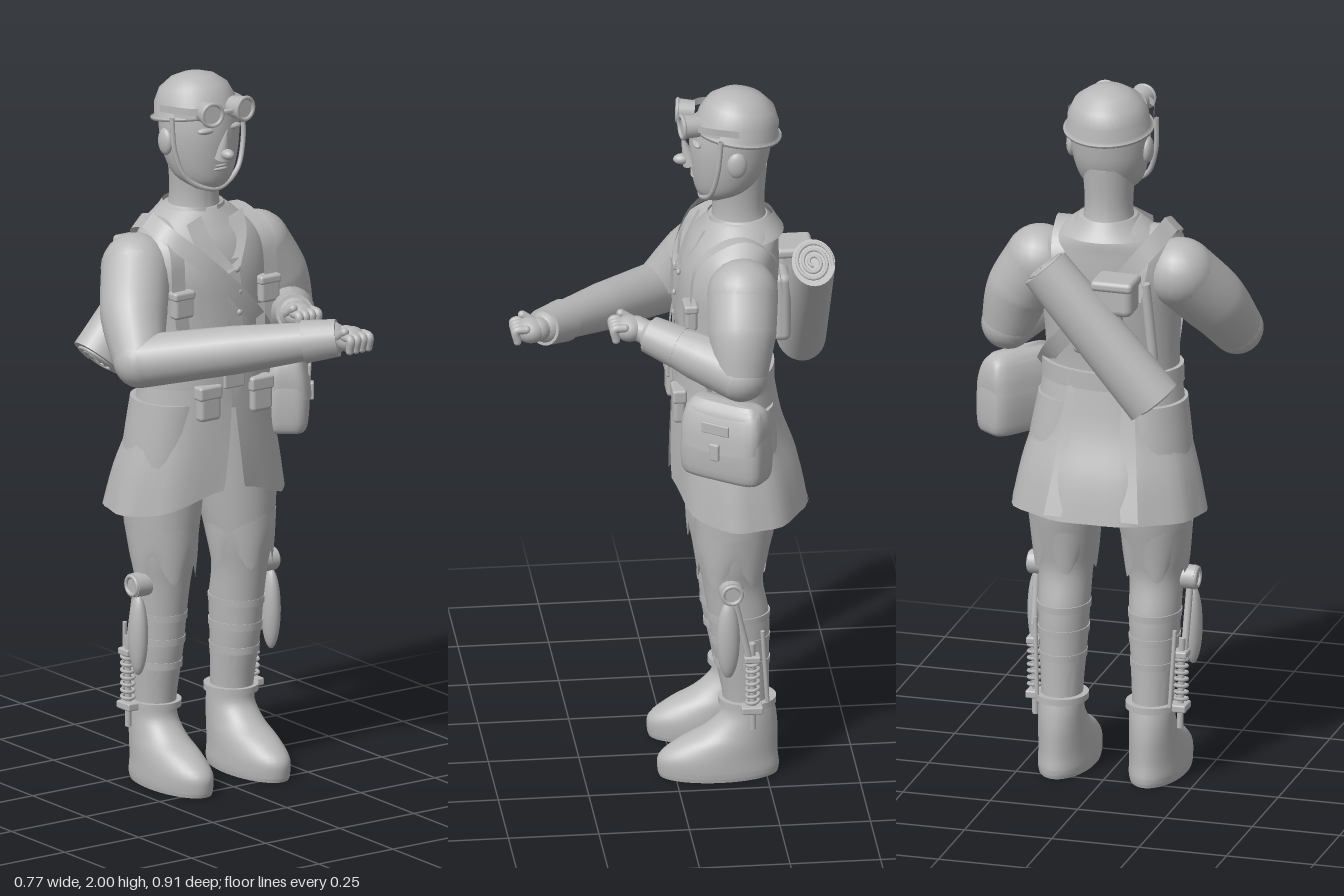
import * as THREE from 'three';
import { toCreasedNormals } from 'three/addons/utils/BufferGeometryUtils.js';
import { RoundedBoxGeometry } from 'three/addons/geometries/RoundedBoxGeometry.js';

const V = (x, y, z) => new THREE.Vector3(x, y, z);

export function createModel() {
  const model = new THREE.Group();
  const grey = new THREE.MeshStandardMaterial({ color: 0xb8b8b8, side: THREE.DoubleSide });
  grey.name = 'plain grey';

  const add = (name, geo, x = 0, y = 0, z = 0) => {
    const m = new THREE.Mesh(geo, grey);
    m.name = name;
    m.position.set(x, y, z);
    model.add(m);
    return m;
  };
  const box = (name, w, h, d, x, y, z, r = 0.008) => add(name, new RoundedBoxGeometry(w, h, d, 2, r), x, y, z);
  const ball = (name, x, y, z, rx, ry = rx, rz = rx) => {
    const m = add(name, new THREE.SphereGeometry(1, 20, 14), x, y, z);
    m.scale.set(rx, ry, rz);
    return m;
  };
  const rod = (name, a, b, r0, r1 = r0, sides = 16) => {
    const d = b.clone().sub(a);
    const m = add(name, new THREE.CylinderGeometry(r1, r0, d.length(), sides));
    m.position.copy(a).addScaledVector(d, 0.5);
    m.quaternion.setFromUnitVectors(V(0, 1, 0), d.normalize());
    return m;
  };

  // Stacked ellipse rows [y, rx, rz, cx, cz]; gap(t) opens the front, ripple and lift shape the cloth
  const loft = (name, rows, { cap = true, gap = () => 0, ripple = () => 0, lift = () => 0 } = {}) => {
    const curves = [1, 2, 3, 4].map(k => rows.map(r => r[k]));
    const n = (rows.length - 1) * 4, seg = 40, pos = [], idx = [];
    const at = (arr, t) => {
      const f = t * (rows.length - 1), i = Math.min(Math.floor(f), rows.length - 2), u = f - i;
      const p0 = arr[Math.max(i - 1, 0)], p1 = arr[i], p2 = arr[i + 1], p3 = arr[Math.min(i + 2, arr.length - 1)];
      return p1 + 0.5 * u * (p2 - p0 + u * (2 * p0 - 5 * p1 + 4 * p2 - p3 + u * (3 * (p1 - p2) + p3 - p0)));
    };
    const ys = rows.map(r => r[0]);
    const ring = (t, k) => {
      const [rx, rz, cx, cz] = curves.map(c => at(c, t)), g = gap(t);
      for (let j = 0; j <= seg; j++) {
        const a = g + (j / seg) * (Math.PI * 2 - 2 * g), w = k * (1 + ripple(a, t));
        pos.push(cx + rx * w * Math.sin(a), at(ys, t) + lift(a, t), cz + rz * w * Math.cos(a));
      }
    };
    if (cap) ring(0, 0);
    for (let i = 0; i <= n; i++) ring(i / n, 1);
    if (cap) ring(1, 0);
    const count = pos.length / 3 / (seg + 1);
    for (let i = 0; i < count - 1; i++) for (let j = 0; j < seg; j++) {
      const a = i * (seg + 1) + j, d = a + seg + 1;
      idx.push(a, a + 1, d + 1, a, d + 1, d);
    }
    const g = new THREE.BufferGeometry();
    g.setAttribute('position', new THREE.Float32BufferAttribute(pos, 3));
    g.setIndex(idx);
    return add(name, toCreasedNormals(g, 0.8));
  };

  // Tapered tube through [x, y, z, radius]
  const limb = (name, pts) => {
    const curve = new THREE.CatmullRomCurve3(pts.map(p => V(p[0], p[1], p[2])));
    const n = 24, g = new THREE.TubeGeometry(curve, n, 1, 20), p = g.attributes.position, v = V(0, 0, 0);
    for (let i = 0; i <= n; i++) {
      const c = curve.getPointAt(i / n), f = (i / n) * (pts.length - 1), k = Math.min(Math.floor(f), pts.length - 2);
      const r = THREE.MathUtils.lerp(pts[k][3], pts[k + 1][3], f - k);
      for (let j = 0; j <= 20; j++) {
        const q = i * 21 + j;
        v.fromBufferAttribute(p, q).sub(c).multiplyScalar(r).add(c);
        p.setXYZ(q, v.x, v.y, v.z);
      }
    }
    g.computeVertexNormals();
    ball(name + 'Start', ...pts[0]);
    ball(name + 'End', ...pts[pts.length - 1]);
    return add(name, g);
  };

  // Flat webbing along a curve, spread across a fixed direction
  const strap = (name, pts, across) => {
    const c = new THREE.CatmullRomCurve3(pts.map(p => V(...p)));
    const g = new THREE.PlaneGeometry(1, 1, 1, 28), p = g.attributes.position;
    for (let i = 0; i <= 28; i++) [-0.5, 0.5].forEach((s, j) => {
      const q = c.getPointAt(i / 28).addScaledVector(across, s);
      p.setXYZ(i * 2 + j, q.x, q.y, q.z);
    });
    g.computeVertexNormals();
    return add(name, g);
  };
  const tube = (name, pts, r, closed = false) =>
    add(name, new THREE.TubeGeometry(new THREE.CatmullRomCurve3(pts, closed), 80, r, 8, closed));

  // Head and neck
  loft('head', [[1.688, 0.04, 0.04, 0.003, -0.125], [1.72, 0.08, 0.081, 0.003, -0.15], [1.78, 0.102, 0.104, 0.003, -0.163],
    [1.85, 0.11, 0.113, 0.003, -0.168], [1.91, 0.108, 0.113, 0.003, -0.174]]);
  loft('neck', [[1.58, 0.08, 0.085, 0.002, -0.195], [1.66, 0.066, 0.072, 0.002, -0.19], [1.78, 0.075, 0.085, 0.002, -0.185]]);
  const nose = add('nose', new THREE.ConeGeometry(0.024, 0.095, 12), 0.003, 1.83, -0.046);
  nose.rotation.x = 0.3;
  ball('noseTip', 0.003, 1.8, -0.034, 0.017, 0.015, 0.024);
  ball('chin', 0.003, 1.712, -0.1, 0.03, 0.022, 0.025);
  for (const y of [1.752, 1.762]) ball('lip', 0.003, y, -0.068, 0.024, 0.006, 0.01);
  for (const s of [-1, 1]) {
    ball('brow', s * 0.042 + 0.003, 1.865, -0.072, 0.03, 0.01, 0.014);
    ball('ear', s * 0.108 + 0.003, 1.822, -0.175, 0.016, 0.038, 0.028);
  }

  // Helmet, brim, chin strap and goggles
  const dome = new THREE.LatheGeometry([[0.126, 0], [0.125, -0.006], [0.115, 0.006], [0.112, 0.04], [0.094, 0.078],
    [0.06, 0.104], [0.025, 0.114], [0, 0.115]].map(p => new THREE.Vector2(...p)), 36);
  const helmet = add('helmet', dome, 0.004, 1.885, -0.185);
  helmet.rotation.x = -0.16;
  tube('chinStrap', [V(-0.116, 1.9, -0.13), V(-0.111, 1.8, -0.12), V(-0.08, 1.725, -0.105), V(0.003, 1.69, -0.085),
    V(0.085, 1.725, -0.105), V(0.117, 1.8, -0.12), V(0.122, 1.9, -0.13)], 0.007);
  for (const s of [-1, 1]) {
    strap('goggleStrap', [[s * 0.06, 1.925, -0.05], [s * 0.095, 1.925, -0.085], [s * 0.122, 1.918, -0.18]], V(0, 0.02, 0));
    rod('goggleCup', V(s * 0.048 + 0.004, 1.92, -0.075), V(s * 0.054 + 0.004, 1.922, -0.03), 0.03, 0.034, 24);
    add('goggleRim', new THREE.TorusGeometry(0.031, 0.006, 8, 24), s * 0.055 + 0.004, 1.922, -0.029).rotation.y = s * 0.15;
  }
  box('goggleBridge', 0.035, 0.012, 0.015, 0.004, 1.922, -0.035, 0.004);

  // Coat body, collar and skirt
  loft('coatBody', [[1.08, 0.19, 0.132, 0.003, -0.145], [1.2, 0.187, 0.13, 0.003, -0.145], [1.35, 0.195, 0.135, 0.003, -0.155],
    [1.46, 0.208, 0.137, 0, -0.163], [1.54, 0.19, 0.125, 0, -0.175], [1.59, 0.14, 0.108, 0, -0.19], [1.63, 0.085, 0.08, 0.002, -0.19]]);
  loft('collar', [[1.585, 0.135, 0.115, 0.002, -0.2], [1.612, 0.1, 0.098, 0.002, -0.2], [1.635, 0.082, 0.09, 0.002, -0.195]],
    { cap: false, gap: t => 0.3 - 0.1 * t });
  loft('coatSkirt', [[0.785, 0.274, 0.188, 0.004, -0.19], [0.9, 0.25, 0.176, 0.004, -0.178], [1.03, 0.215, 0.152, 0.004, -0.157], [1.19, 0.19, 0.135, 0.004, -0.145]],
    { cap: false, gap: t => 0.13 * (1 - t), ripple: (a, t) => 0.022 * (1 - t) * Math.cos(9 * a),
      lift: (a, t) => 0.07 * (1 - t) * Math.max(0, Math.cos(a)) ** 5 });
  for (const s of [-1, 1]) {
    strap('skirtPleat', [[s * 0.07, 1.15, -0.277], [s * 0.085, 1, -0.31], [s * 0.11, 0.8, -0.373]], V(0.05, 0, 0));
    strap('coatLapel', [[s * 0.07, 1.61, -0.09], [s * 0.06, 1.55, -0.058], [s * 0.012, 1.47, -0.018]], V(0.05, 0.02, 0));
  }
  strap('buttonPlacket', [[0.012, 1.5, -0.03], [0.012, 1.4, -0.013], [0.012, 1.2, -0.008]], V(0.05, 0, 0));
  for (let y = 1.23; y < 1.52; y += 0.06) ball('button', 0.028, y, y > 1.45 ? -0.022 : -0.01, 0.009, 0.009, 0.006);

  // Belt, buckle and pouches
  loft('belt', [[1.145, 0.201, 0.143, 0.003, -0.146], [1.195, 0.199, 0.142, 0.003, -0.146]]);
  box('buckle', 0.07, 0.055, 0.012, 0.004, 1.168, -0.004);
  for (const s of [-1, 1]) {
    const x = s * 0.087 + 0.011;
    box('beltPouch', 0.07, 0.085, 0.035, x, 1.1, -0.015, 0.012);
    box('beltPouchFlap', 0.076, 0.04, 0.04, x, 1.138, -0.015);
    strap('beltBrace', [[x, 1.19, -0.008], [x, 1.28, -0.01], [x * 1.1, 1.36, -0.025]], V(0.03, 0, 0));
    box('chestPouch', 0.065, 0.07, 0.035, s * 0.145, 1.39, -0.042, 0.01);
    box('chestPouchFlap', 0.07, 0.025, 0.04, s * 0.145, 1.42, -0.042);
    strap('packStrap', [[s * 0.1, 1.42, -0.303], [s * 0.12, 1.55, -0.275], [s * 0.13, 1.608, -0.19], [s * 0.15, 1.55, -0.065],
      [s * 0.155, 1.42, -0.04], [s * 0.13, 1.2, -0.03]], V(0.045, 0, 0));
  }

  // Shoulder sling
  strap('slingFront', [[-0.17, 1.61, -0.17], [-0.165, 1.585, -0.09], [-0.08, 1.5, -0.022], [0.05, 1.37, -0.008],
    [0.16, 1.24, -0.05], [0.215, 1.14, -0.12]], V(0.035, 0.035, 0));
  strap('slingBack', [[-0.17, 1.61, -0.17], [-0.14, 1.57, -0.27], [0, 1.4, -0.302], [0.14, 1.25, -0.255], [0.215, 1.14, -0.12]], V(0.035, 0.035, 0));

  // Hip bag turned outward to the front left corner
  const squared = a => 1 / (Math.abs(Math.cos(a)) ** 5 + Math.abs(Math.sin(a)) ** 5) ** 0.2 - 1;
  const bag = new THREE.Group();
  bag.name = 'hipBag';
  bag.position.set(0.272, 1.07, -0.128);
  bag.rotation.y = 0.94;
  model.add(bag);
  bag.add(
    loft('hipBagBody', [[-0.108, 0.1, 0.04, 0, 0], [-0.092, 0.122, 0.057, 0, 0], [0, 0.125, 0.062, 0, 0], [0.09, 0.112, 0.046, 0, 0], [0.112, 0.098, 0.03, 0, 0]],
      { ripple: squared }),
    loft('hipBagFlap', [[0.012, 0.122, 0.067, 0, 0], [0.06, 0.122, 0.06, 0, 0], [0.1, 0.112, 0.045, 0, 0], [0.119, 0.092, 0.026, 0, 0]],
      { ripple: squared, lift: (a, t) => -0.03 * (1 - t) * Math.max(0, Math.cos(a)) }),
    box('hipBagPatch', 0.085, 0.032, 0.008, 0, 0.055, 0.062, 0.003),
    box('hipBagClasp', 0.03, 0.05, 0.012, 0, -0.012, 0.068, 0.005));

  // Bedroll with coiled ends, broader than thick, and the small back pouches
  const top = V(0.128, 1.525, -0.384), low = V(-0.185, 1.165, -0.384), along = top.clone().sub(low).normalize();
  const roll = rod('bedroll', low, top, 0.069, 0.06, 28);
  roll.scale.x = 1.18;
  for (const [c, k] of [[top, 1], [low, -1]]) {
    const coil = Array.from({ length: 36 }, (_, i) => V(Math.cos(i * 0.5) * (0.008 + i * 0.0013), 0, Math.sin(i * 0.5) * (0.008 + i * 0.0013)));
    const m = tube('bedrollCoil', coil, 0.005);
    m.position.copy(c).addScaledVector(along, k * 0.002);
    m.quaternion.copy(roll.quaternion);
    m.scale.x = 1.18;
  }
  box('backPouch', 0.11, 0.1, 0.09, -0.065, 1.45, -0.345, 0.02);
  box('backPouchFlap', 0.12, 0.03, 0.105, -0.065, 1.49, -0.35, 0.012);
  box('backPad', 0.14, 0.2, 0.05, 0, 1.36, -0.305, 0.02);
  rod('backTube', V(-0.15, 1.25, -0.275), V(-0.13, 1.47, -0.285), 0.014);

  // Arms: sleeve, cuff and fist
  const arm = (side, shoulder, elbow, wrist, hand) => {
    const mid = shoulder.map((v, i) => (v + elbow[i]) / 2);
    mid[0] += Math.sign(mid[0]) * 0.015;
    limb(side + 'UpperArm', [[...shoulder, 0.098], [...mid, 0.093], [...elbow, 0.074]]);
    limb(side + 'Forearm', [[...elbow, 0.074], [...elbow.map((v, i) => v * 0.5 + wrist[i] * 0.5), 0.067], [...wrist, 0.048]]);
    const w = V(...wrist), d = w.clone().sub(V(...elbow)).normalize();
    rod(side + 'Cuff', w.clone().addScaledVector(d, -0.075), w.clone().addScaledVector(d, 0.02), 0.06, 0.052, 20);
    const [x, y, z] = hand;
    limb(side + 'Wrist', [[...wrist, 0.034], [x, y, z - 0.02, 0.034]]);
    ball(side + 'Palm', x, y, z, 0.044, 0.036, 0.042);
    for (let i = 0; i < 4; i++) {
      const fx = x - 0.032 + i * 0.021;
      limb(side + 'Finger', [[fx, y + 0.015, z + 0.015, 0.012], [fx, y + 0.012, z + 0.044, 0.012], [fx, y - 0.02, z + 0.04, 0.011]]);
    }
    limb(side + 'Thumb', [[x - 0.035, y + 0.01, z - 0.01, 0.013], [x - 0.035, y + 0.03, z + 0.02, 0.012]]);
  };
  arm('right', [-0.2, 1.475, -0.18], [-0.31, 1.268, -0.008], [0.08, 1.35, 0.345], [0.112, 1.355, 0.395]);
  arm('left', [0.202, 1.475, -0.18], [0.298, 1.275, -0.165], [0.165, 1.34, 0.055], [0.132, 1.355, 0.125]);

  // Legs, boots and braces
  for (const s of [-1, 1]) {
    const cx = s * 0.13 + 0.004;
    loft('trouserLeg', [[0.16, 0.055, 0.062, cx, -0.2], [0.25, 0.058, 0.065, cx, -0.195], [0.38, 0.066, 0.078, cx, -0.182],
      [0.48, 0.071, 0.084, cx, -0.176], [0.58, 0.075, 0.083, cx, -0.16], [0.66, 0.09, 0.097, cx, -0.16],
      [0.78, 0.106, 0.115, s * 0.126 + 0.004, -0.168], [0.92, 0.115, 0.124, s * 0.12 + 0.004, -0.168], [1.1, 0.105, 0.12, s * 0.104, -0.155]]);
    // Ragged trouser edge over the knee
    loft('trouserCuff', [[0.62, 0.086, 0.094, cx, -0.158], [0.67, 0.094, 0.101, cx, -0.16], [0.74, 0.101, 0.109, cx, -0.165]],
      { cap: false, lift: (a, t) => 0.035 * (1 - t) * Math.sin(5 * a) });
    for (const [y, rx, rz, z] of [[0.34, 0.065, 0.077, -0.185], [0.41, 0.07, 0.082, -0.18], [0.48, 0.073, 0.086, -0.176]])
      loft('gaiterBand', [[y - 0.01, rx, rz, cx, z], [y + 0.01, rx + 0.001, rz + 0.001, cx, z]]);
    loft('boot', [[0, 0.075, 0.163, cx, -0.12], [0.02, 0.078, 0.168, cx, -0.12], [0.06, 0.077, 0.164, cx, -0.12],
      [0.1, 0.073, 0.138, cx, -0.146], [0.135, 0.067, 0.104, cx, -0.18], [0.18, 0.063, 0.077, cx, -0.203], [0.22, 0.062, 0.07, cx, -0.203]]);
    loft('ankleRing', [[0.212, 0.074, 0.08, cx, -0.2], [0.23, 0.074, 0.08, cx, -0.2]]);

    // Outer brace: hinge, shell, rods and spring
    rod('kneeHinge', V(s * 0.19, 0.58, -0.148), V(s * 0.237, 0.58, -0.148), 0.034, 0.034, 24);
    const rim = add('hingeRim', new THREE.TorusGeometry(0.026, 0.006, 8, 24), s * 0.238, 0.58, -0.148);
    rim.rotation.y = Math.PI / 2;
    ball('braceShell', s * 0.224, 0.44, -0.138, 0.025, 0.115, 0.032);
    rod('braceRod', V(s * 0.22, 0.58, -0.15), V(s * 0.215, 0.36, -0.2), 0.01);
    rod('piston', V(s * 0.212, 0.42, -0.205), V(s * 0.207, 0.16, -0.208), 0.009);
    box('springSeat', 0.04, 0.02, 0.045, s * 0.21, 0.375, -0.205, 0.005);
    box('ringClamp', 0.045, 0.022, 0.06, s * 0.207, 0.221, -0.205, 0.005);
    for (let i = 0; i < 7; i++) {
      const t = add('springCoil', new THREE.TorusGeometry(0.017, 0.005, 6, 16), s * 0.21, 0.245 + i * 0.019, -0.207);
      t.rotation.x = Math.PI / 2 + 0.15;
    }
    rod('rearRod', V(s * 0.2, 0.45, -0.235), V(s * 0.19, 0.23, -0.25), 0.006);
  }
  return model;
}
